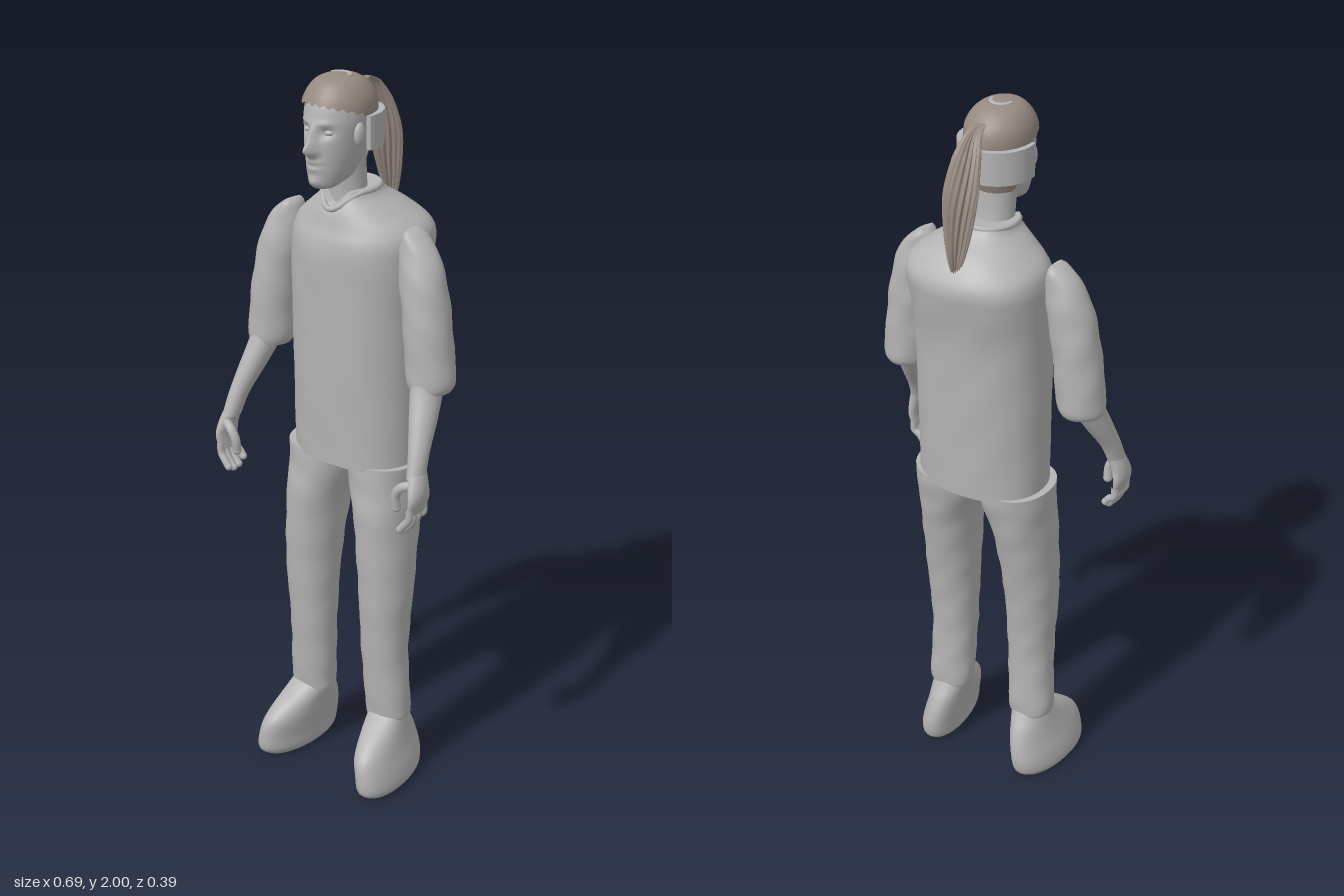
import * as THREE from 'three';

// Smooth value along a list of cross-sections [y, centreX, centreZ, radiusX, radiusZ]
function sample(rows, u) {
  const n = rows.length - 1;
  const i = Math.min(Math.floor(u), n - 1), t = u - i;
  const at = k => rows[Math.max(0, Math.min(n, k))];
  const [a, b, c, d] = [at(i - 1), at(i), at(i + 1), at(i + 2)];
  return b.map((p, k) => {
    const m0 = (c[k] - a[k]) / 2, m1 = (d[k] - p) / 2;
    const t2 = t * t, t3 = t2 * t;
    return (2 * t3 - 3 * t2 + 1) * p + (t3 - 2 * t2 + t) * m0 + (3 * t2 - 2 * t3) * c[k] + (t3 - t2) * m1;
  });
}

// Grid of points closed around the y axis, with flat end caps if wanted
function grid(rings, seg, point, caps) {
  const pos = [], idx = [];
  for (let i = 0; i <= rings; i++)
    for (let j = 0; j < seg; j++) pos.push(...point(i / rings, (j / seg) * Math.PI * 2));
  for (let i = 0; i < rings; i++)
    for (let j = 0; j < seg; j++) {
      const k = (j + 1) % seg, a = i * seg + j, b = i * seg + k;
      idx.push(a, b, b + seg, a, b + seg, a + seg);
    }
  if (caps) for (const end of [0, rings]) {
    const start = pos.length / 3, mid = [0, 0, 0];
    for (let j = 0; j < seg; j++) {
      const p = pos.slice((end * seg + j) * 3, (end * seg + j) * 3 + 3);
      pos.push(...p);
      p.forEach((v, k) => { mid[k] += v / seg; });
    }
    pos.push(...mid);
    for (let j = 0; j < seg; j++) {
      const a = start + j, b = start + (j + 1) % seg;
      idx.push(...(end ? [a, b, start + seg] : [b, a, start + seg]));
    }
  }
  const g = new THREE.BufferGeometry();
  g.setAttribute('position', new THREE.Float32BufferAttribute(pos, 3));
  g.setIndex(idx);
  g.computeVertexNormals();
  return g;
}

// Body part through cross-sections; power squares the outline, warp moves each point
function loft(rows, { seg = 32, steps = 6, power = 2, side = 1, warp = p => p } = {}) {
  const n = rows.length - 1, e = 2 / power;
  const bend = v => Math.sign(v) * Math.abs(v) ** e;
  return grid(n * steps, seg, (t, a) => {
    const [y, cx, cz, rx, rz] = sample(rows, t * n);
    return warp([side * cx + Math.max(0, rx) * bend(Math.sin(a)), y, cz + Math.max(0, rz) * bend(Math.cos(a))], a);
  }, true);
}

const bump = (a, b) => Math.exp(-a * a - b * b);

const HEAD = [
  [1.722, 0, .115, 0, 0], [1.728, 0, .113, .03, .036], [1.755, 0, .082, .05, .077],
  [1.80, 0, .07, .064, .09], [1.85, 0, .062, .073, .098], [1.90, 0, .055, .08, .1],
  [1.94, 0, .053, .077, .092], [1.97, 0, .055, .06, .07], [1.987, 0, .058, .035, .042], [1.992, 0, .06, 0, 0],
];

// Nose, eye sockets, brow, lips and chin
function face([x, y, z]) {
  if (z < .07) return [x, y, z];
  const ax = Math.abs(x);
  z += .034 * bump(x / .012, (y - 1.832) / .02) + .014 * bump(x / .011, (y - 1.865) / .024)
    + .008 * bump((ax - .012) / .008, (y - 1.824) / .01)
    - .012 * bump((ax - .031) / .017, (y - 1.872) / .013)
    + .004 * bump((ax - .03) / .02, (y - 1.895) / .008)
    + .009 * bump(x / .022, (y - 1.788) / .014) - .009 * bump(x / .024, (y - 1.788) / .004)
    + .006 * bump(x / .02, (y - 1.745) / .013);
  return [x, y, z];
}

export function createModel() {
  const model = new THREE.Group();
  model.name = 'standingFigure';
  const grey = new THREE.MeshStandardMaterial({ color: 0xb4b4b4 });
  grey.name = 'plain grey';
  const brown = new THREE.MeshStandardMaterial({ color: 0x978a81, side: THREE.DoubleSide });
  brown.name = 'hair brown';
  const add = (name, geometry, material = grey, parent = model) => {
    const mesh = new THREE.Mesh(geometry, material);
    mesh.name = name;
    parent.add(mesh);
    return mesh;
  };
  const ball = (name, x, y, z, rx, ry, rz, parent) =>
    add(name, new THREE.SphereGeometry(1, 20, 14).scale(rx, ry, rz).translate(x, y, z), grey, parent);

  // Shirt with a raised collar dipping at the throat
  add('shirt', loft([
    [.955, .003, -.02, .18, .13], [1.2, .003, -.02, .18, .14], [1.4, .004, -.022, .182, .147],
    [1.52, .006, -.03, .187, .158], [1.575, .008, -.036, .187, .158], [1.612, .008, -.035, .172, .143],
    [1.65, .005, -.022, .125, .12], [1.685, .002, -.002, .08, .088], [1.708, 0, .005, .07, .075],
  ], {
    seg: 64, power: 2.3,
    warp: ([x, y, z]) => [x, y - .045 * bump(x / .03, (y - 1.72) / .05) * (z > .04 ? 1 : 0),
      z + .0015 * Math.sin(24 * y + 9 * x) * Math.sin(31 * x + 8 * y)],
  }));
  const collarPoints = Array.from({ length: 24 }, (_, i) => {
    const a = i / 24 * Math.PI * 2, front = Math.max(0, Math.cos(a)) ** 4;
    return new THREE.Vector3(.07 * Math.sin(a), 1.703 - .045 * front, .005 + (.074 + .016 * front) * Math.cos(a));
  });
  add('collar', new THREE.TubeGeometry(new THREE.CatmullRomCurve3(collarPoints, true), 72, .008, 8, true));

  // Neck and head
  add('neck', loft([[1.64, 0, .015, .055, .055], [1.72, 0, .025, .053, .048], [1.82, 0, .035, .055, .055]]));
  add('head', loft(HEAD, { seg: 80, steps: 9, warp: face }));
  for (const s of [1, -1]) {
    ball('eye', s * .031, 1.872, .132, .014, .009, .013);
    ball('ear', s * .078, 1.862, .072, .012, .03, .018);
  }

  // Band wrapped round the back of the head
  const bandShape = new THREE.Shape();
  bandShape.absarc(0, 0, .1, -.2, Math.PI + .2, false);
  bandShape.absarc(0, 0, .084, Math.PI + .2, -.2, true);
  add('headBand', new THREE.ExtrudeGeometry(bandShape, { depth: .088, bevelEnabled: false, curveSegments: 32 })
    .rotateX(-Math.PI / 2).translate(0, 1.82, .034));

  // Hair cap: ragged fringe in front, lower at the nape
  add('hairCap', grid(24, 96, (t, a) => {
    const c = Math.cos(a);
    const edge = c > 0 ? 5.2 + .8 * c + .1 * Math.sin(a * 24) : 5.2 - 2.6 * THREE.MathUtils.smoothstep(-c, 0, .6);
    const [y, , cz, rx, rz] = sample(HEAD, edge + (9 - edge) * t);
    const grow = Math.min(1, (9 - edge) * (1 - t)) * .009;
    return [Math.sin(a) * (Math.max(0, rx) + grow), y + .008 * t, cz + c * (Math.max(0, rz) + grow)];
  }), brown);
  add('crownPatch', new THREE.TorusGeometry(.027, .006, 8, 24, Math.PI)
    .rotateX(-Math.PI / 2).scale(1, .6, 1).translate(0, 1.997, .055));

  // Ponytail with ridged strands
  add('ponytail', loft([
    [1.61, 0, -.16, .004, .005], [1.66, 0, -.155, .02, .019], [1.74, .002, -.142, .036, .03],
    [1.82, .003, -.127, .042, .036], [1.9, .003, -.102, .033, .031], [1.95, .002, -.074, .018, .023],
    [1.968, 0, -.048, .013, .014],
  ], {
    seg: 120,
    warp: ([x, y, z], a) => {
      const k = .004 * Math.cos(a * 15 + 3 * Math.sin(y * 12));
      return [x + k * Math.sin(a), y, z + k * Math.cos(a)];
    },
  }), brown);

  // Limbs, mirrored
  for (const s of [1, -1]) {
    const side = s > 0 ? 'left' : 'right';
    const arm = new THREE.Group();
    arm.name = side + 'Arm';
    const leg = new THREE.Group();
    leg.name = side + 'Leg';
    model.add(arm, leg);
    const crease = ([x, y, z], a) => {
      const k = .0018 * Math.sin(y * 55 + 2 * Math.sin(a)) * Math.sin(a * 2 + y * 9);
      return [x + k * Math.sin(a), y, z + k * Math.cos(a)];
    };

    add('sleeve', loft([
      [1.215, .268, .018, .056, .056], [1.25, .266, .016, .065, .064], [1.4, .25, .014, .063, .064],
      [1.5, .232, .01, .062, .058], [1.57, .215, .007, .05, .048], [1.61, .2, .005, .026, .038],
      [1.625, .193, .005, .006, .022],
    ], { side: s, warp: crease }), grey, arm);
    add('forearm', loft([
      [1.02, .313, .135, .022, .03], [1.08, .304, .112, .026, .032], [1.15, .288, .075, .034, .042],
      [1.22, .272, .04, .04, .048], [1.26, .268, .03, .04, .045],
    ], { side: s }), grey, arm);
    add('palm', loft([
      [.925, .32, .143, .011, .036], [.965, .327, .142, .016, .041], [1.0, .322, .138, .02, .036],
      [1.04, .311, .128, .021, .028],
    ], { side: s }), grey, arm);
    const digit = (name, points, r) => {
      const path = new THREE.CatmullRomCurve3(points.map(([x, y, z]) => new THREE.Vector3(s * x, y, z)));
      add(name, new THREE.TubeGeometry(path, 12, r, 10), grey, arm);
      const tip = path.getPoint(1);
      ball(name + 'Tip', tip.x, tip.y, tip.z, r, r, r, arm);
    };
    for (let i = 0; i < 4; i++) {
      const z = .113 + i * .02, low = [.89, .875, .872, .88][i];
      digit('finger', [[.322, .945, z], [.32, .915, z], [.306, low + .015, z + .001], [.294, low, z + .001]], .0105);
    }
    digit('thumb', [[.318, 1.005, .155], [.29, .995, .168], [.273, .968, .168], [.272, .932, .163]], .0125);

    add('trouserLeg', loft([
      [.19, .132, .01, .06, .054], [.22, .133, .01, .065, .056], [.4, .126, .018, .064, .063],
      [.6, .127, .015, .072, .08], [.8, .117, 0, .078, .103], [.9, .103, -.014, .092, .11],
      [.965, .1, -.02, .098, .111],
    ], { side: s, power: 2.15, warp: crease }), grey, leg);
    add('shoe', loft([
      [0, .163, .05, .048, .112], [.02, .162, .05, .06, .136], [.06, .158, .048, .06, .142],
      [.11, .148, .047, .057, .134], [.15, .141, .035, .055, .108], [.18, .136, .022, .054, .077],
      [.207, .133, .01, .052, .05],
    ], { side: s, power: 2.1, warp: ([x, y, z]) => [x + s * .1 * z, y, z] }), grey, leg);
  }
  return model;
}
